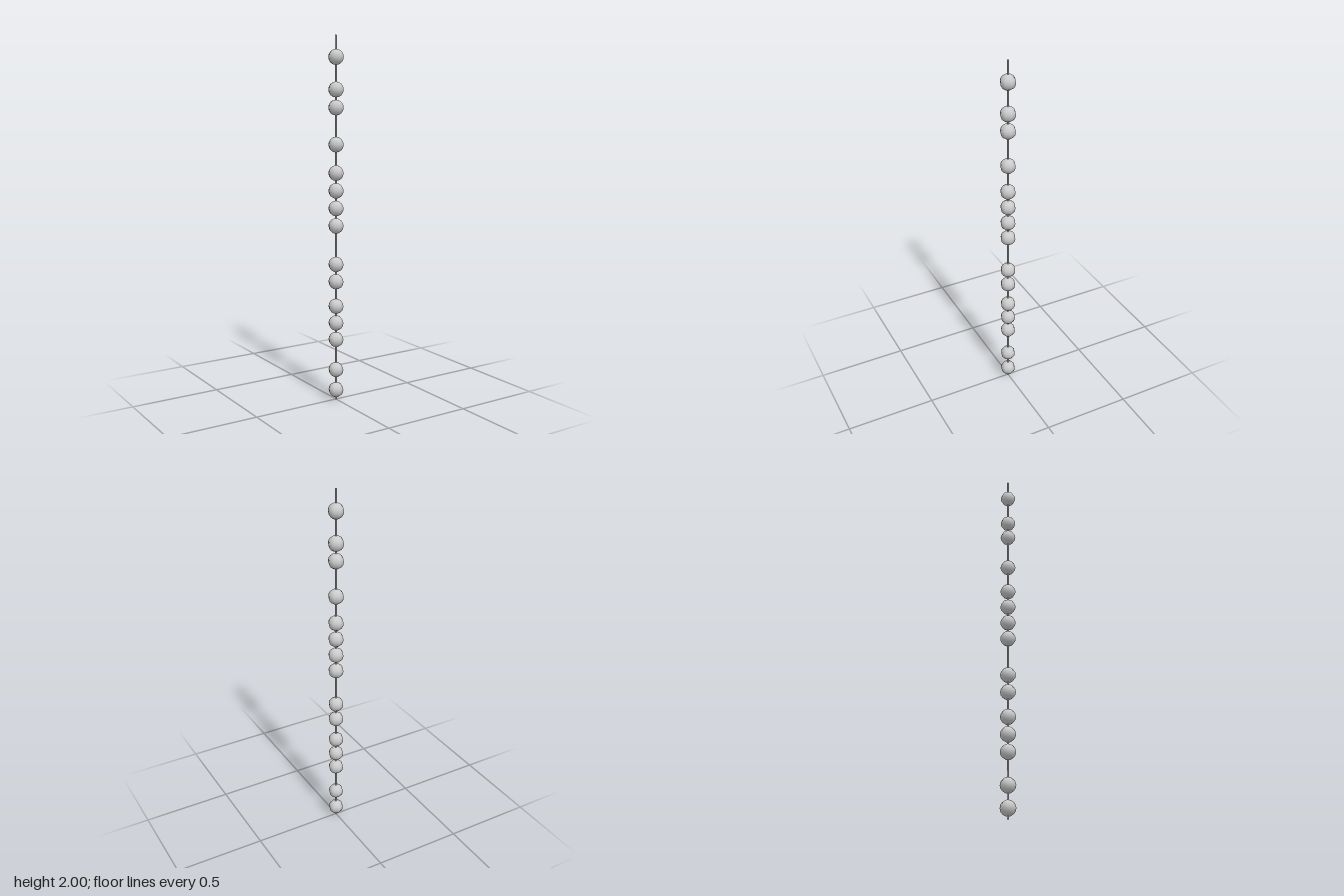
import * as THREE from 'three';

export function createModel() {
  const model = new THREE.Group();
  model.name = 'beadedString';
  const material = new THREE.MeshStandardMaterial({ color: 0xcccccc });

  // Thin straight string running the full height
  const string = new THREE.Mesh(new THREE.CylinderGeometry(0.005, 0.005, 2, 8), material);
  string.name = 'string';
  string.position.y = 1;
  model.add(string);

  // Beads threaded at irregular heights
  const heights = [
    0.056, 0.172, 0.346, 0.44, 0.535, 0.673, 0.77, 0.983,
    1.079, 1.175, 1.271, 1.424, 1.621, 1.716, 1.886,
  ];
  const beadGeometry = new THREE.SphereGeometry(0.042, 8, 8);
  heights.forEach((y, i) => {
    const bead = new THREE.Mesh(beadGeometry, material);
    bead.name = `bead${i + 1}`;
    bead.position.y = y;
    model.add(bead);
  });

  return model;
}
